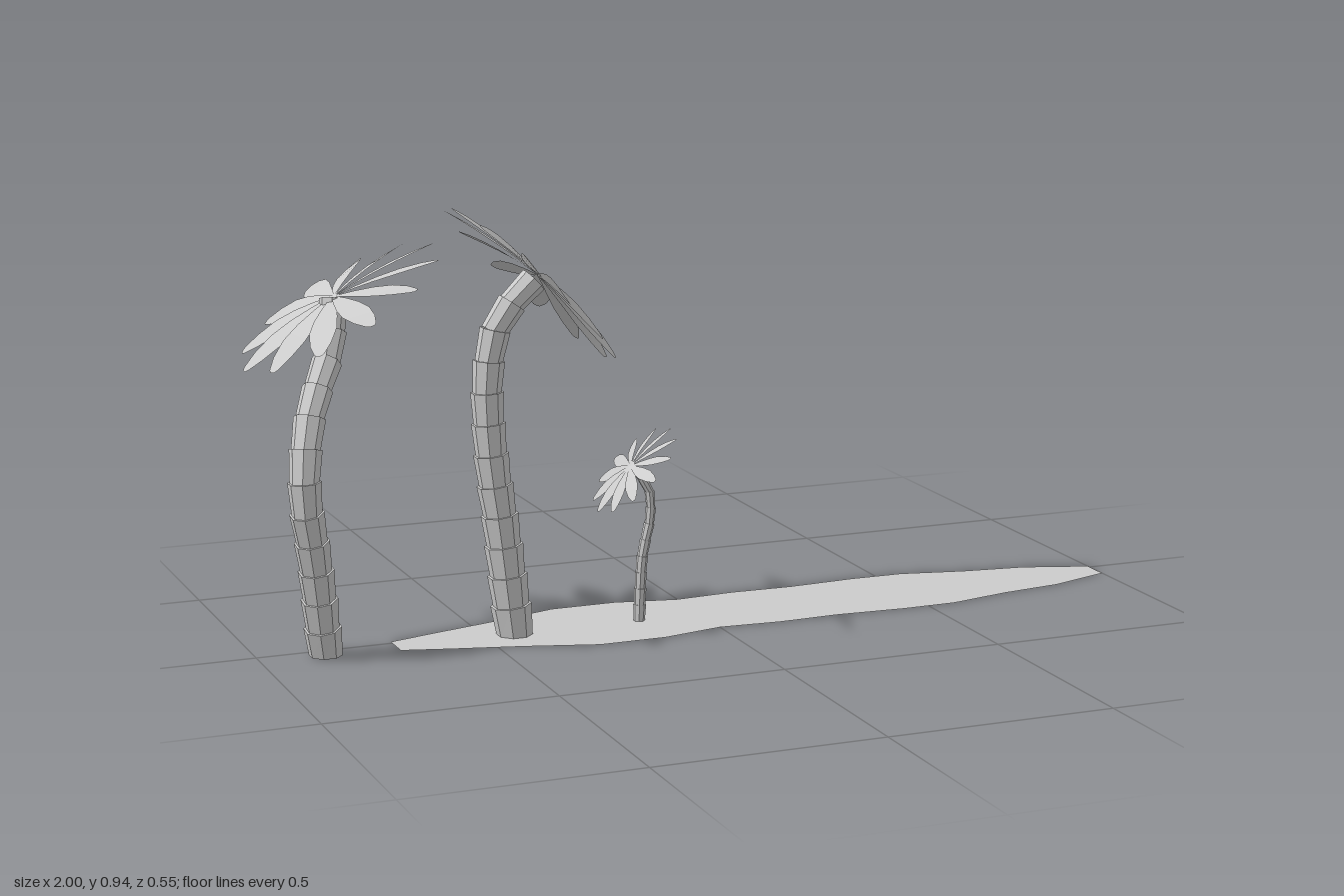
import * as THREE from 'three';
import { mergeGeometries } from 'three/addons/utils/BufferGeometryUtils.js';

const UP = new THREE.Vector3(0, 1, 0);
const LEAVES = 12;

// Trunk: stacked, slightly flared eight-sided collars following a curve
function trunkGeometry(points, baseRadius, topRadius, count) {
  const curve = new THREE.CatmullRomCurve3(points.map(p => new THREE.Vector3(...p)));
  const collars = [];
  for (let i = 0; i < count; i++) {
    const a = curve.getPointAt(i / count);
    const b = curve.getPointAt((i + 1) / count);
    const dir = b.clone().sub(a);
    const length = dir.length();
    dir.normalize();
    const r = THREE.MathUtils.lerp(baseRadius, topRadius, i / (count - 1));
    const overlap = i > 0 ? length * 0.12 : 0;
    const g = new THREE.CylinderGeometry(r * 1.1, r * 0.97, length + overlap, 8);
    g.rotateY(Math.PI / 8);
    g.translate(0, (length - overlap) / 2, 0);
    g.applyQuaternion(new THREE.Quaternion().setFromUnitVectors(UP, dir));
    g.translate(a.x, a.y, a.z);
    // Keep the foot flat on the ground
    const pos = g.attributes.position;
    for (let k = 0; k < pos.count; k++) {
      if (pos.getY(k) < 0 || (i === 0 && pos.getY(k) < length * 0.3)) pos.setY(k, 0);
    }
    const flat = g.toNonIndexed();
    flat.computeVertexNormals();
    collars.push(flat);
  }
  return mergeGeometries(collars);
}

// Leaf: a drooping, slightly twisted blade with a blunt tip, lying along +x
function leafGeometry() {
  const rows = [[0, 0.004], [0.05, 0.015], [0.1, 0.025], [0.15, 0.03], [0.2, 0.023], [0.235, 0.011], [0.242, 0.005]];
  const positions = [], index = [];
  rows.forEach(([r, w], i) => {
    const y = -0.45 * r * r;
    positions.push(r, y - w * 0.2, -w, r, y + w * 0.2, w);
    if (i > 0) {
      const k = i * 2;
      index.push(k - 2, k - 1, k, k - 1, k + 1, k);
    }
  });
  const g = new THREE.BufferGeometry();
  g.setAttribute('position', new THREE.Float32BufferAttribute(positions, 3));
  g.setIndex(index);
  g.computeVertexNormals();
  return g;
}

function palm(name, material, trunk, crown) {
  const group = new THREE.Group();
  group.name = name;
  const stem = new THREE.Mesh(trunkGeometry(trunk.points, trunk.base, trunk.top, trunk.count), material);
  stem.name = 'trunk';
  group.add(stem);

  // Crown: a tilted ring of leaves
  const leaves = new THREE.Group();
  leaves.name = 'crown';
  const geometry = leafGeometry();
  for (let i = 0; i < LEAVES; i++) {
    const leaf = new THREE.Mesh(geometry, material);
    leaf.name = 'leaf';
    leaf.rotation.y = (i / LEAVES) * Math.PI * 2;
    leaves.add(leaf);
  }
  leaves.position.set(...crown.center);
  leaves.rotation.z = crown.tilt;
  leaves.scale.setScalar(crown.scale);
  group.add(leaves);
  return group;
}

// Ground: a flat, long, tapering island
function ground(material) {
  const middle = 0.025;
  const halfWidths = [
    [-0.7, 0.036], [-0.6, 0.065], [-0.45, 0.105], [-0.29, 0.155], [-0.14, 0.155], [0, 0.125], [0.14, 0.135],
    [0.28, 0.13], [0.44, 0.14], [0.565, 0.138], [0.71, 0.105], [0.855, 0.085], [1, 0.035],
  ];
  const outline = [
    ...halfWidths.map(([x, w]) => new THREE.Vector2(x, -middle - w)),
    ...halfWidths.map(([x, w]) => new THREE.Vector2(x, -middle + w)).reverse(),
  ];
  const g = new THREE.ShapeGeometry(new THREE.Shape(outline));
  g.rotateX(-Math.PI / 2);
  const mesh = new THREE.Mesh(g, material);
  mesh.name = 'ground';
  return mesh;
}

export function createModel() {
  const model = new THREE.Group();
  model.name = 'palmIsland';
  const grey = new THREE.MeshStandardMaterial({ color: 0xcccccc, side: THREE.DoubleSide });
  grey.name = 'light grey';

  model.add(ground(grey));
  model.add(palm('curvedPalm', grey, {
    points: [[-0.858, 0, 0.035], [-0.888, 0.22, 0.075], [-0.912, 0.38, 0.097], [-0.885, 0.525, 0.055],
      [-0.82, 0.647, -0.015], [-0.8, 0.75, -0.045]],
    base: 0.037, top: 0.028, count: 12,
  }, { center: [-0.803, 0.756, -0.04], tilt: 0.53, scale: 1 }));
  model.add(palm('tallPalm', grey, {
    points: [[-0.433, 0, 0.03], [-0.46, 0.24, 0.03], [-0.482, 0.41, 0.03], [-0.486, 0.58, 0.028],
      [-0.46, 0.69, 0.027], [-0.38, 0.775, 0.027]],
    base: 0.041, top: 0.028, count: 12,
  }, { center: [-0.37, 0.785, 0.028], tilt: -Math.PI / 4, scale: 1 }));
  model.add(palm('smallPalm', grey, {
    points: [[-0.143, 0, 0.03], [-0.135, 0.145, 0.03], [-0.115, 0.24, 0.03], [-0.121, 0.3, 0.03], [-0.16, 0.348, 0.03]],
    base: 0.013, top: 0.009, count: 10,
  }, { center: [-0.162, 0.35, 0.03], tilt: Math.PI / 4, scale: 0.5 }));
  return model;
}
